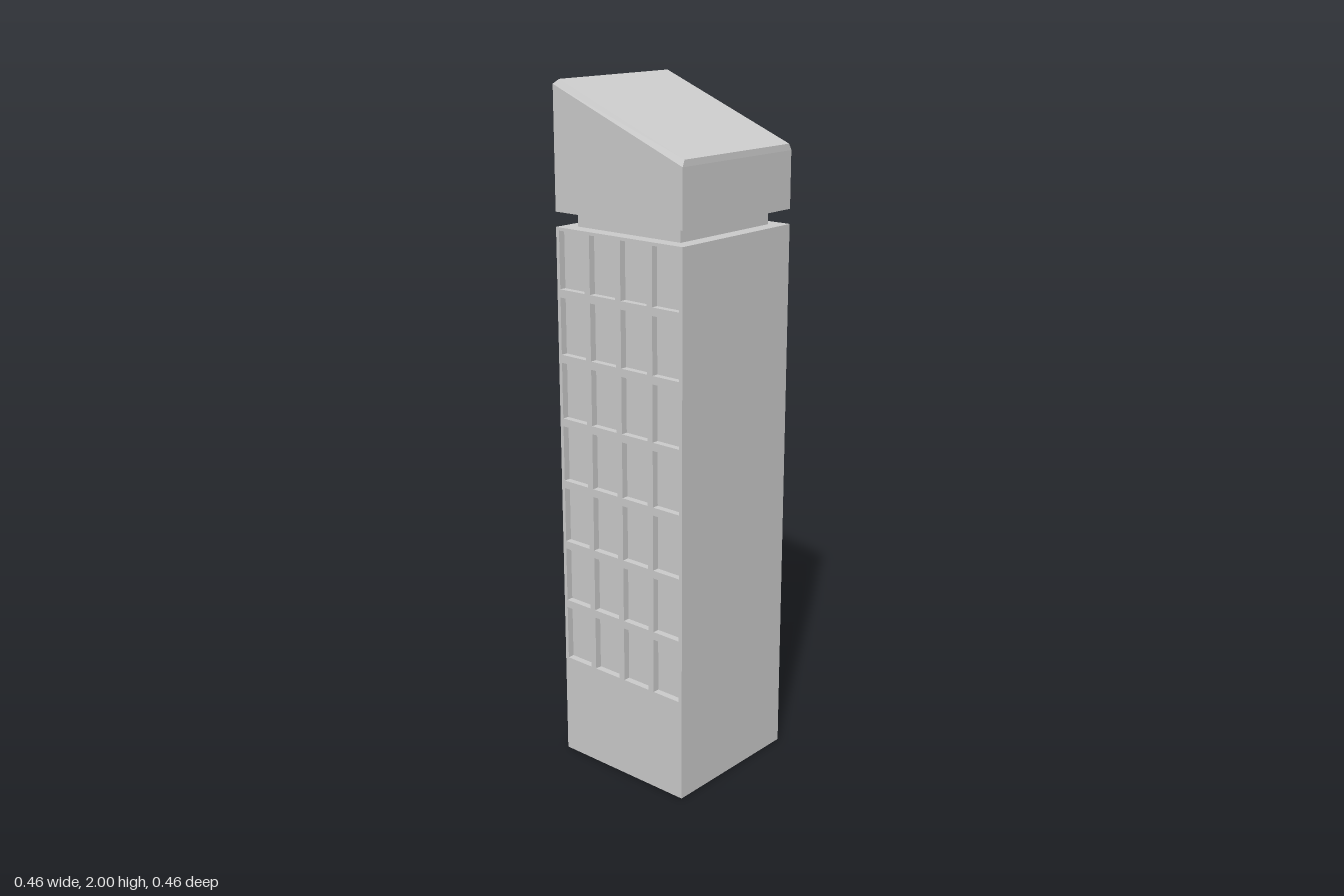
import * as THREE from 'three';

const HALF = 0.2285;        // half width of the tower
const BODY_TOP = 1.603;
const HEAD_BASE = 1.645;
const RECESS = 0.02;        // window depth

const material = new THREE.MeshStandardMaterial({ color: 0xcccccc, flatShading: true });

function add(parent, name, geometry, x = 0, y = 0, z = 0) {
  const mesh = new THREE.Mesh(geometry, material);
  mesh.name = name;
  mesh.position.set(x, y, z);
  parent.add(mesh);
  return mesh;
}

// Four-cornered ring whose height may differ between its -x and +x sides
const ring = (x0, y0, x1, y1, z) => [[x0, y0, z], [x1, y1, z], [x1, y1, -z], [x0, y0, -z]];

// Closed solid through a stack of four-cornered rings, bottom to top
function loft(rings) {
  const pos = [];
  const quad = (a, b, c, d) => pos.push(...a, ...b, ...c, ...a, ...c, ...d);
  for (let r = 0; r < rings.length - 1; r++) {
    const lo = rings[r], hi = rings[r + 1];
    for (let i = 0; i < 4; i++) {
      const j = (i + 1) % 4;
      quad(lo[i], lo[j], hi[j], hi[i]);
    }
  }
  quad(...[...rings[0]].reverse());
  quad(...rings[rings.length - 1]);
  const g = new THREE.BufferGeometry();
  g.setAttribute('position', new THREE.Float32BufferAttribute(pos, 3));
  g.computeVertexNormals();
  return g;
}

function rectangle(Type, x0, y0, x1, y1) {
  return new Type([[x0, y0], [x1, y0], [x1, y1], [x0, y1]].map(p => new THREE.Vector2(...p)));
}

// Front wall pierced by a 4 x 7 grid of windows
function windowWall() {
  const wall = rectangle(THREE.Shape, -HALF, 0, HALF, BODY_TOP);
  const w = 0.094, h = 0.164;
  for (let row = 0; row < 7; row++) {
    for (let col = 0; col < 4; col++) {
      const x = (col - 1.5) * 0.1135, y = 0.387 + row * 0.1875;
      wall.holes.push(rectangle(THREE.Path, x - w / 2, y - h / 2, x + w / 2, y + h / 2));
    }
  }
  return new THREE.ExtrudeGeometry(wall, { depth: RECESS, bevelEnabled: false });
}

export function createModel() {
  const tower = new THREE.Group();
  tower.name = 'tower';

  // Shaft: solid core behind the window wall
  const depth = 2 * HALF - RECESS;
  add(tower, 'shaftCore', new THREE.BoxGeometry(2 * HALF, BODY_TOP, depth), 0, BODY_TOP / 2, -RECESS / 2);
  add(tower, 'windowWall', windowWall(), 0, 0, HALF - RECESS);

  // Recessed neck between shaft and head
  const neckHeight = HEAD_BASE - BODY_TOP;
  add(tower, 'neck', new THREE.BoxGeometry(0.371, neckHeight, 0.371), 0, BODY_TOP + neckHeight / 2, 0);

  // Head with a sloping, bevelled roof
  add(tower, 'slopedHead', loft([
    ring(-HALF, HEAD_BASE, HALF, HEAD_BASE, HALF),
    ring(-HALF, 1.987, HALF, 1.806, HALF),
    ring(-0.213, 2.0, 0.227, 1.824, 0.2197),
  ]));

  return tower;
}
